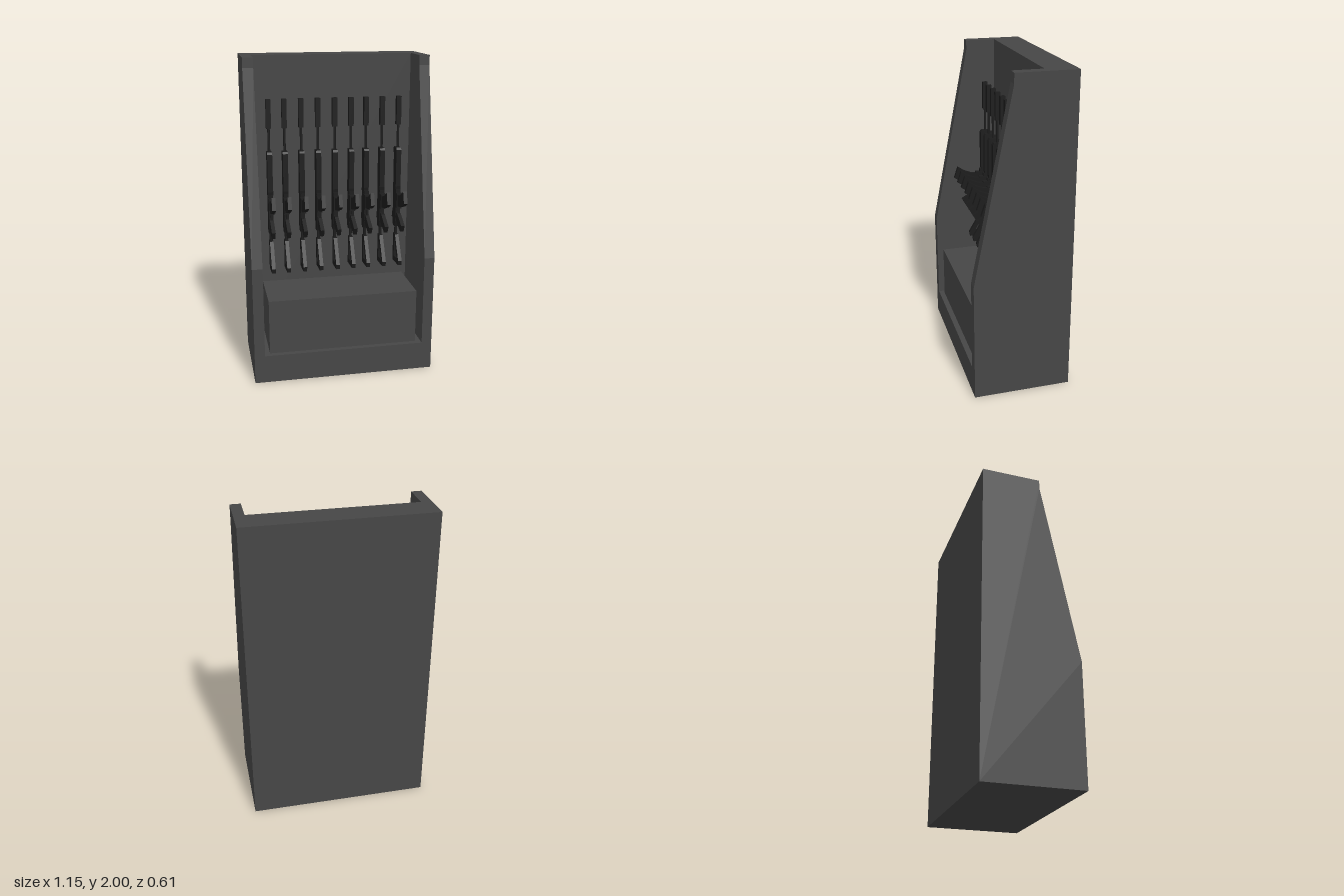
import * as THREE from 'three';

const cabinetGrey = new THREE.MeshStandardMaterial({ color: 0x464646 });
cabinetGrey.name = 'cabinet grey';
const gunBlack = new THREE.MeshStandardMaterial({ color: 0x1c1c1c });
gunBlack.name = 'gun black';

// Side profile given as [z, y] points, extruded along x and centred on x = 0
function profile(points, width, hole) {
  const toVec = ([z, y]) => new THREE.Vector2(z, y);
  const shape = new THREE.Shape(points.map(toVec));
  if (hole) shape.holes.push(new THREE.Path(hole.map(toVec)));
  const geo = new THREE.ExtrudeGeometry(shape, { depth: width, bevelEnabled: false });
  return geo.translate(0, 0, -width / 2).rotateY(-Math.PI / 2);
}

// Box given by its width in x and its limits in y and z
function block(width, y0, y1, z0, z1) {
  return new THREE.BoxGeometry(width, y1 - y0, z1 - z0).translate(0, (y0 + y1) / 2, (z0 + z1) / 2);
}

// Upright rod along the barrel axis
function rod(radius, y0, y1, sides) {
  return new THREE.CylinderGeometry(radius, radius, y1 - y0, sides).translate(0, (y0 + y1) / 2, -0.03);
}

function add(parent, name, geometry, material) {
  const mesh = new THREE.Mesh(geometry, material);
  mesh.name = name;
  parent.add(mesh);
  return mesh;
}

function createCabinet() {
  const cabinet = new THREE.Group();
  cabinet.name = 'cabinet';
  add(cabinet, 'base', block(1.02, 0, 0.18, -0.305, 0.305), cabinetGrey);
  add(cabinet, 'backWall', block(1.02, 0.18, 2, -0.305, -0.12), cabinetGrey);
  add(cabinet, 'plinth', block(0.95, 0.18, 0.53, -0.087, 0.27), cabinetGrey);
  // Sloping side walls
  const side = profile([[-0.305, 0], [0.305, 0], [0.305, 0.76], [0.07, 1.94], [0.07, 2], [-0.305, 2]], 0.065);
  for (const s of [1, -1]) {
    add(cabinet, s > 0 ? 'leftWall' : 'rightWall', side, cabinetGrey).position.x = s * 0.5425;
  }
  return cabinet;
}

// Rifle parts, standing muzzle up with the magazine towards the front
const rifleParts = {
  suppressor: block(0.03, 1.56, 1.74, -0.046, -0.014),
  barrel: rod(0.008, 1.4, 1.57, 8),
  handguard: profile([[-0.058, 1.13], [0, 1.13], [0.004, 1.16], [0.004, 1.4], [-0.004, 1.413], [-0.058, 1.413]], 0.032),
  receiver: profile([[-0.06, 0.9], [-0.045, 0.885], [-0.012, 0.885], [0.006, 0.93], [0.012, 1.14], [-0.06, 1.14]], 0.03),
  magazineWell: block(0.034, 1.02, 1.12, -0.01, 0.04),
  magazine: profile([[0, 1.03], [0.08, 1.04], [0.14, 1.06], [0.19, 1.09], [0.165, 1.165],
    [0.12, 1.135], [0.07, 1.115], [0, 1.11]], 0.024),
  grip: profile([[0, 0.94], [0.115, 0.885], [0.14, 0.93], [0.04, 0.985], [0, 0.99]], 0.024),
  triggerGuard: profile([[0, 0.97], [0.04, 0.97], [0.04, 1.03], [0, 1.03]], 0.012,
    [[0.002, 0.98], [0.033, 0.98], [0.033, 1.024], [0.002, 1.024]]),
  bufferTube: rod(0.01, 0.82, 0.89, 8),
  stock: profile([[-0.05, 0.64], [0.085, 0.645], [0.09, 0.675], [-0.002, 0.83], [-0.05, 0.83]], 0.024,
    [[-0.022, 0.675], [0.052, 0.68], [-0.008, 0.785], [-0.022, 0.785]]),
  rearSight: block(0.022, 0.93, 0.97, -0.095, -0.058),
  frontSight: block(0.018, 1.37, 1.4, -0.09, -0.056),
  chargingLever: block(0.01, 1.13, 1.2, -0.045, -0.025).translate(0.015, 0, 0),
};

function createRifle() {
  const rifle = new THREE.Group();
  for (const [name, geometry] of Object.entries(rifleParts)) add(rifle, name, geometry, gunBlack);
  return rifle;
}

export function createModel() {
  const model = new THREE.Group();
  model.name = 'rifleRack';
  model.add(createCabinet());
  // Row of nine rifles
  [-0.419, -0.321, -0.216, -0.11, -0.002, 0.103, 0.2, 0.305, 0.412].forEach((x, i) => {
    const rifle = createRifle();
    rifle.name = `rifle${i + 1}`;
    rifle.position.x = x;
    model.add(rifle);
  });
  return model;
}
